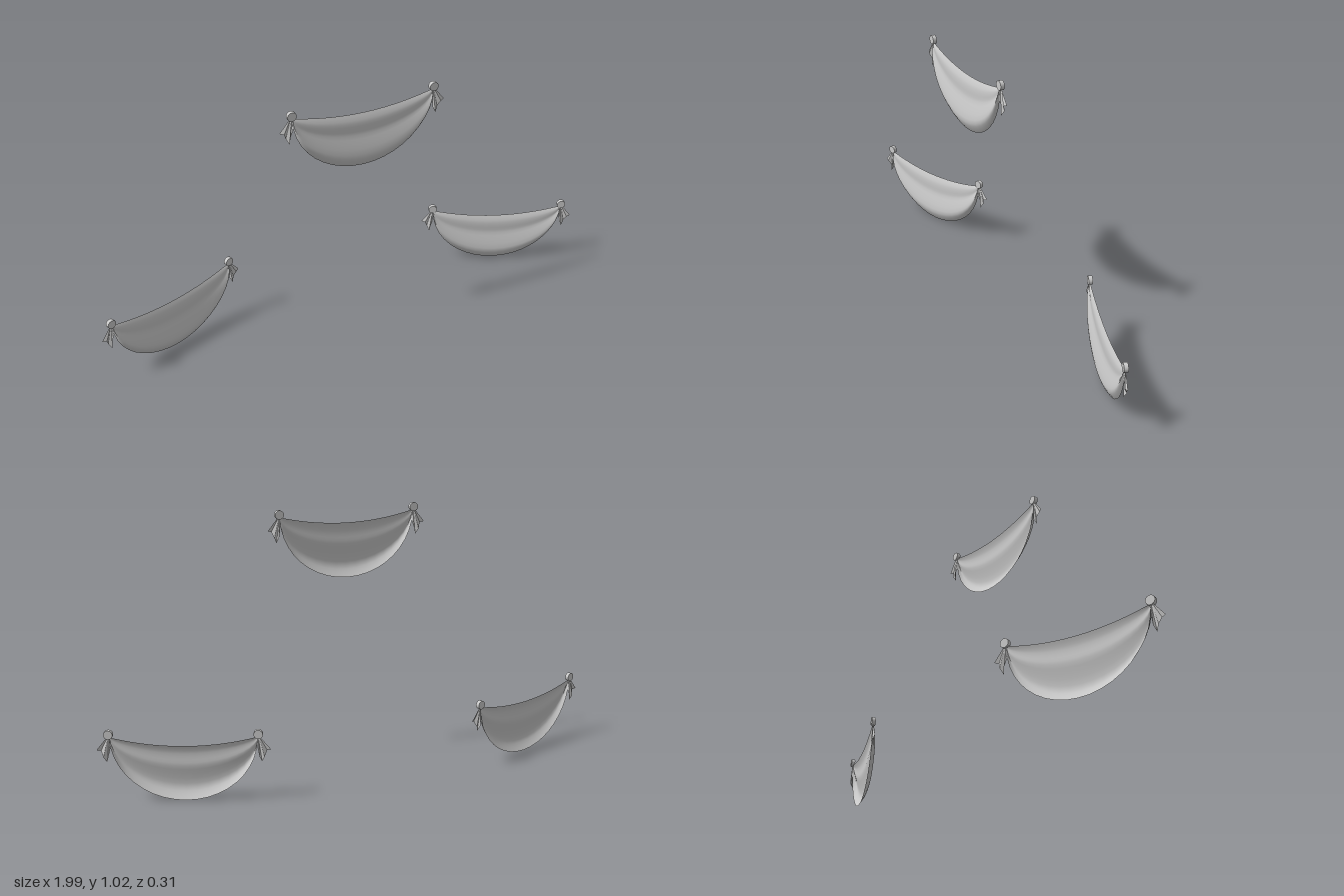
import * as THREE from 'three';

const cloth = new THREE.MeshStandardMaterial({ color: 0xcccccc, side: THREE.DoubleSide });
const metal = new THREE.MeshStandardMaterial({ color: 0xcccccc });
const HALF = 0.268, HANG = 0.99;

// Depth of the drape from top edge (0) to hem (1): soft folds, then a belly that tucks back
const foldProfile = new THREE.SplineCurve([
  [0, 0], [0.12, 0.009], [0.25, 0.010], [0.38, 0.009], [0.55, 0.017], [0.77, 0.024], [0.9, 0.014], [1, 0],
].map(([v, z]) => new THREE.Vector2(v, z)));

// Hanging sheet gathered to a point at both ends
function drapeGeometry() {
  const geo = new THREE.PlaneGeometry(1, 1, 20, 16);
  const pos = geo.attributes.position;
  for (let i = 0; i < pos.count; i++) {
    const t = pos.getX(i) * Math.PI * 0.985;
    const fold = foldProfile.getPoint(0.5 - pos.getY(i));
    const c = Math.cos(t);
    const drop = THREE.MathUtils.lerp(0.035 * c * c, 0.247 * c, fold.x);
    pos.setXYZ(i, HALF * Math.sin(t), HANG - drop, fold.y * Math.sqrt(c));
  }
  geo.computeVertexNormals();
  return geo;
}

// Small pleated fan of cloth hanging from a knob
function tailGeometry(side) {
  const hem = [
    [0.315, 0.941, 0], [0.300, 0.937, 0.006], [0.291, 0.914, -0.004],
    [0.281, 0.893, 0.005], [0.273, 0.915, -0.005], [0.266, 0.945, 0.003],
  ];
  const pts = [];
  const top = (i) => [side * (0.275 - i * 0.002), 0.99, 0];
  const low = (i) => [side * hem[i][0], hem[i][1], hem[i][2]];
  for (let i = 0; i < hem.length - 1; i++) {
    const quad = [top(i), low(i), low(i + 1), top(i), low(i + 1), top(i + 1)];
    if (side < 0) quad.reverse();
    // outer edge sits on the right for +x, so reverse to face forward
    pts.push(...quad.reverse().flat());
  }
  const geo = new THREE.BufferGeometry();
  geo.setAttribute('position', new THREE.Float32BufferAttribute(pts, 3));
  geo.computeVertexNormals();
  return geo;
}

function add(group, geo, mat, name) {
  const mesh = new THREE.Mesh(geo, mat);
  mesh.name = name;
  group.add(mesh);
  return mesh;
}

function swag(name, x, y, z, turn) {
  const group = new THREE.Group();
  group.name = name;
  add(group, drapeGeometry(), cloth, 'drape');
  for (const side of [1, -1]) {
    const label = side > 0 ? 'left' : 'right';
    add(group, tailGeometry(side), cloth, label + 'Tail');
    // Round knob holding the gathered cloth
    const knob = add(group, new THREE.CylinderGeometry(0.017, 0.017, 0.015, 14), metal, label + 'Knob');
    knob.rotation.x = Math.PI / 2;
    knob.position.set(side * 0.27, 1.0, 0.001);
  }
  group.position.set(x, y, z);
  group.rotation.y = turn;
  return group;
}

export function createModel() {
  const model = new THREE.Group();
  model.name = 'swagBunting';
  model.add(swag('upperSwag', 0, 0, 0.134, 0));
  // Lower pair, outer ends turned forward
  for (const side of [1, -1]) {
    model.add(swag(side > 0 ? 'leftSwag' : 'rightSwag', side * 0.7, -0.742, -0.048, -side * 0.349));
  }
  return model;
}
